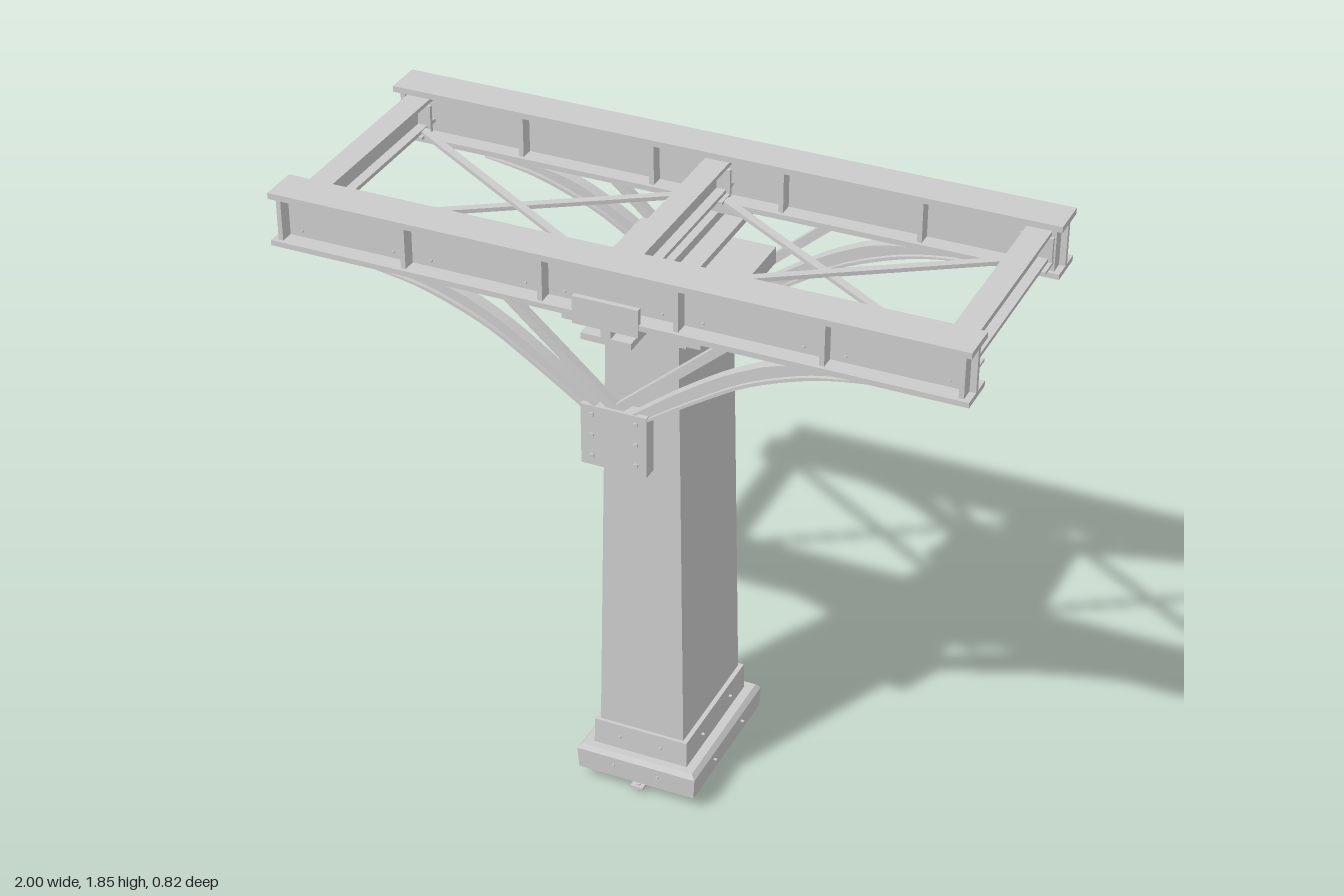
import * as THREE from 'three';

const mat = new THREE.MeshStandardMaterial({ color: 0xcccccc, flatShading: true });

export function createModel() {
  const model = new THREE.Group();

  function add(name, geo, parent = model) {
    const m = new THREE.Mesh(geo, mat);
    m.name = name;
    parent.add(m);
    return m;
  }
  // Box given by its min and max on each axis
  function box(name, x0, x1, y0, y1, z0, z1, parent = model) {
    const m = add(name, new THREE.BoxGeometry(x1 - x0, y1 - y0, z1 - z0), parent);
    m.position.set((x0 + x1) / 2, (y0 + y1) / 2, (z0 + z1) / 2);
  }
  // Rectangular bar between two points in the parent's frame, aimed before it is attached
  function bar(name, a, b, w, h, parent = model) {
    const m = new THREE.Mesh(new THREE.BoxGeometry(w, h, a.distanceTo(b)), mat);
    m.name = name;
    m.position.copy(a).add(b).multiplyScalar(0.5);
    m.lookAt(b);
    parent.add(m);
  }
  // Small round bolt along the x, y or z axis
  function bolt(x, y, z, axis, r = 0.006, len = 0.012, parent = model) {
    const m = add('bolt', new THREE.CylinderGeometry(r, r, len, 8), parent);
    m.position.set(x, y, z);
    if (axis === 'z') m.rotation.x = Math.PI / 2;
    if (axis === 'x') m.rotation.z = Math.PI / 2;
  }
  // Four-sided block that tapers towards its top
  function taper(name, y0, y1, x0, z0, x1, z1) {
    const geo = new THREE.BoxGeometry(2, y1 - y0, 2);
    const p = geo.attributes.position;
    for (let i = 0; i < p.count; i++) {
      const top = p.getY(i) > 0;
      p.setX(i, p.getX(i) * (top ? x1 : x0));
      p.setZ(i, p.getZ(i) * (top ? z1 : z0));
    }
    geo.computeVertexNormals();
    add(name, geo).position.y = (y0 + y1) / 2;
  }

  // Pillar: stepped base, shaft and capital
  taper('baseSlab', 0.04, 0.108, 0.184, 0.243, 0.188, 0.246);
  taper('baseChamfer', 0.108, 0.122, 0.188, 0.246, 0.175, 0.235);
  taper('plinth', 0.122, 0.205, 0.148, 0.212, 0.146, 0.21);
  taper('shaft', 0.2, 1.545, 0.132, 0.2, 0.108, 0.184);
  taper('lowerCapital', 1.54, 1.576, 0.143, 0.214, 0.143, 0.214);
  taper('upperCapital', 1.575, 1.625, 0.203, 0.256, 0.203, 0.256);

  // Base studs and foot plates
  for (const s of [-1, 1]) {
    for (const k of [-1, 1]) {
      bolt(k * 0.07, 0.083, s * 0.248, 'z', 0.004);
      bolt(k * 0.065, 0.165, s * 0.214, 'z', 0.004);
      bolt(s * 0.19, 0.083, k * 0.1, 'x', 0.004);
      bolt(s * 0.15, 0.165, k * 0.1, 'x', 0.004);
      bolt(0, 0.012, s * 0.195 + k * 0.03, 'y', 0.008, 0.024);
    }
    box('footPlate', -0.02, 0.02, 0.012, 0.02, s * 0.195 - 0.045, s * 0.195 + 0.045);
  }

  // Transverse bearer resting on the capital
  box('bearerFoot', -0.073, 0.073, 1.625, 1.645, -0.408, 0.408);
  box('bearerWeb', -0.014, 0.014, 1.645, 1.672, -0.408, 0.408);

  // Arched arm outline, lower and upper edges from the gusset outwards
  const V = (x, y) => new THREE.Vector2(x, y);
  const lower = new THREE.SplineCurve([V(0.09, 1.38), V(0.25, 1.487), V(0.39, 1.57), V(0.57, 1.636), V(0.73, 1.664)]).getPoints(20);
  const upper = new THREE.SplineCurve([V(0.05, 1.395), V(0.2, 1.508), V(0.35, 1.603), V(0.5, 1.662), V(0.73, 1.682)]).getPoints(20);
  function ribbon(a, b, depth) {
    const geo = new THREE.ExtrudeGeometry(new THREE.Shape([...a, ...[...b].reverse()]), { depth, bevelEnabled: false });
    return geo.translate(0, 0, -depth / 2);
  }
  const mix = (t) => lower.map((p, i) => p.clone().lerp(upper[i], t));
  const armParts = [
    ['archWeb', ribbon(mix(0.1), mix(0.9), 0.014)],
    ['archLowerFlange', ribbon(lower, mix(0.2), 0.038)],
    ['archUpperFlange', ribbon(mix(0.8), upper, 0.038)],
  ];

  // Each side: girder, arms, gusset and bearing plate
  for (const s of [-1, 1]) {
    const side = new THREE.Group();
    side.name = s > 0 ? 'frontSide' : 'backSide';
    side.rotation.y = s > 0 ? 0 : Math.PI;
    model.add(side);

    box('girderTopFlange', -1, 1, 1.832, 1.85, 0.292, 0.408, side);
    box('girderBottomFlange', -1, 1, 1.69, 1.706, 0.292, 0.408, side);
    box('girderWeb', -1, 1, 1.7, 1.84, 0.343, 0.357, side);
    for (const x of [-0.975, -0.6, -0.195, 0.195, 0.6, 0.975]) {
      box('stiffener', x - 0.007, x + 0.007, 1.705, 1.833, 0.303, 0.397, side);
    }
    for (let i = 0; i < 5; i++) {
      for (const dx of [-0.14, 0.14]) {
        for (const y of [1.725, 1.815]) bolt(-0.79 + i * 0.395 + dx, y, 0.359, 'z', 0.004, 0.01, side);
      }
    }
    box('bearingPad', -0.095, 0.095, 1.67, 1.692, 0.292, 0.408, side);
    box('bearingPlate', -0.095, 0.095, 1.67, 1.752, 0.396, 0.411, side);

    box('gusset', -0.097, 0.097, 1.21, 1.397, 0.323, 0.367, side);
    for (const x of [-0.065, 0.065]) {
      for (const y of [1.24, 1.305, 1.37]) bolt(x, y, 0.368, 'z', 0.008, 0.01, side);
    }

    for (const k of [-1, 1]) {
      const arm = new THREE.Group();
      arm.name = k > 0 ? 'leftArm' : 'rightArm';
      arm.position.z = 0.345;
      // A half turn mirrors the arm, which is symmetric in depth
      arm.rotation.y = k > 0 ? 0 : Math.PI;
      side.add(arm);
      for (const [name, geo] of armParts) add(name, geo, arm);
      box('armSeat', 0.52, 0.73, 1.678, 1.692, -0.022, 0.022, arm);
      bar('strut', new THREE.Vector3(0, 1.392, 0), new THREE.Vector3(0.33, 1.68, 0), 0.026, 0.026, arm);
    }
  }

  // Cross beams between the girders
  for (const x of [-0.93, 0, 0.93]) {
    const beam = new THREE.Group();
    beam.name = 'crossBeam';
    beam.position.x = x;
    model.add(beam);
    box('beamTopFlange', -0.036, 0.036, 1.808, 1.82, -0.345, 0.345, beam);
    box('beamBottomFlange', -0.036, 0.036, 1.735, 1.747, -0.345, 0.345, beam);
    box('beamWeb', -0.007, 0.007, 1.74, 1.815, -0.345, 0.345, beam);
    for (const s of [-1, 1]) {
      box('beamCleat', -0.048, 0.048, 1.728, 1.736, s * 0.27 - 0.033, s * 0.27 + 0.033, beam);
      for (const k of [-1, 1]) box('beamBracket', k * 0.027 - 0.02, k * 0.027 + 0.02, 1.736, 1.808, s * 0.298 - 0.006, s * 0.298 + 0.006, beam);
    }
  }

  // Diagonal wind bracing in each bay
  for (const k of [-1, 1]) {
    for (const s of [-1, 1]) {
      const y = 1.733 + s * 0.005;
      bar('brace', new THREE.Vector3(k * 0.03, y, s * 0.275), new THREE.Vector3(k * 0.9, y, -s * 0.275), 0.024, 0.012);
    }
  }

  return model;
}
